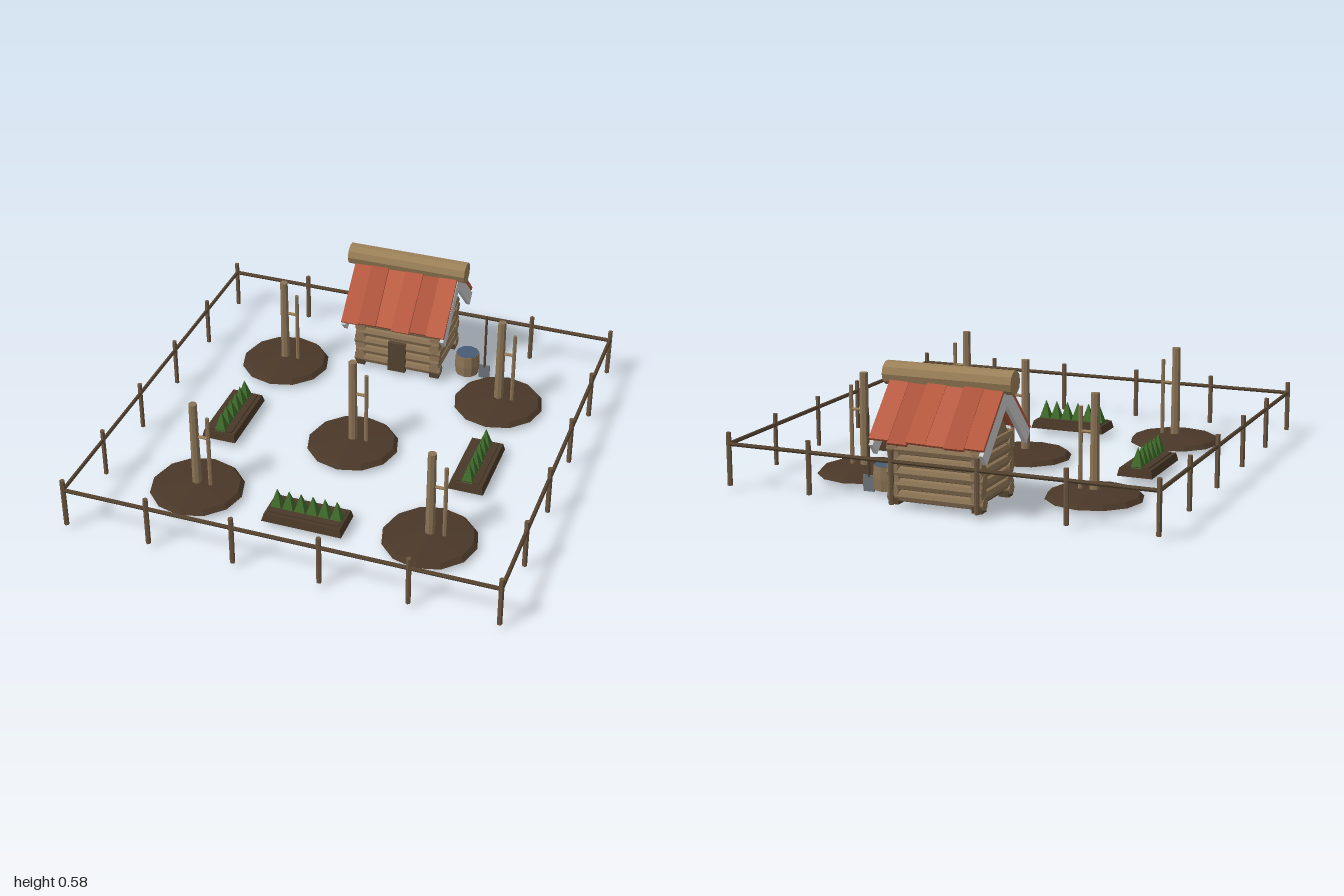
import * as THREE from 'three';

const mat = (color) => new THREE.MeshStandardMaterial({ color, flatShading: true });
const WOOD = mat(0x8b7355), PALE = mat(0x9b8058), DARK = mat(0x54422f), FENCE = mat(0x6b5640);
const SOIL = mat(0x4a3828), LEAF = mat(0x3f6b2a), WATER = mat(0x485c74), METAL = mat(0x6a7278), GREY = mat(0xcccccc);
const ROOF = [mat(0xb5583f), mat(0xad533b), mat(0xbb5d44)];

function add(parent, name, geo, material, x = 0, y = 0, z = 0) {
  const m = new THREE.Mesh(geo, material);
  m.name = name;
  m.position.set(x, y, z);
  parent.add(m);
  return m;
}

function group(parent, name, x = 0, y = 0, z = 0) {
  const g = new THREE.Group();
  g.name = name;
  g.position.set(x, y, z);
  parent.add(g);
  return g;
}

// Round timber; axis is 'x', 'y' or 'z'
function log(parent, name, axis, r, len, material, x, y, z, sides = 8) {
  const geo = new THREE.CylinderGeometry(r, r, len, sides);
  if (axis === 'x') geo.rotateZ(Math.PI / 2);
  if (axis === 'z') geo.rotateX(Math.PI / 2);
  return add(parent, name, geo, material, x, y, z);
}

// Flat shape in (z, y) extruded across x, centred
function slabX(points, width) {
  const shape = new THREE.Shape(points.map(([a, b]) => new THREE.Vector2(a, b)));
  return new THREE.ExtrudeGeometry(shape, { depth: width, bevelEnabled: false })
    .translate(0, 0, -width / 2).rotateY(-Math.PI / 2);
}

function buildFence(root) {
  const g = group(root, 'fence', 0, 0, 0.03);
  const half = 0.95, step = 0.38;
  for (let side = 0; side < 4; side++) {
    const s = group(g, 'fenceSide');
    s.rotation.y = side * Math.PI / 2;
    for (let i = 0; i < 5; i++)
      log(s, 'fencePost', 'y', 0.011, 0.23, FENCE, -half + i * step, 0.135, half, 6);
    log(s, 'fenceRail', 'x', 0.009, 2 * half, DARK, 0, 0.2, half, 6);
  }
}

function buildMound(root, x, z) {
  const g = group(root, 'treeMound', x, 0, z);
  const profile = [[0, 0.02], [0.208, 0.02], [0.19, 0.04], [0.13, 0.046], [0, 0.058]]
    .map(([r, y]) => new THREE.Vector2(r, y));
  add(g, 'soilMound', new THREE.LatheGeometry(profile, 12), SOIL);
  add(g, 'trunk', new THREE.CylinderGeometry(0.019, 0.022, 0.41, 8), WOOD, 0, 0.255, 0);
  log(g, 'stake', 'y', 0.009, 0.36, WOOD, 0.063, 0.22, 0, 6);
  log(g, 'stakeTie', 'x', 0.007, 0.065, PALE, 0.035, 0.295, 0, 6);
}

function buildBed(root, x, z, turn) {
  const g = group(root, 'plantBed', x, 0, z);
  g.rotation.y = turn;
  // Box drawn in towards the top
  const box = new THREE.BoxGeometry(0.36, 0.035, 0.16);
  const p = box.attributes.position;
  for (let i = 0; i < p.count; i++)
    if (p.getY(i) > 0) p.setXYZ(i, p.getX(i) * 0.95, p.getY(i), p.getZ(i) * 0.9);
  box.computeVertexNormals();
  add(g, 'bedBase', box, SOIL, 0, 0.0405, 0);
  add(g, 'bedSoil', new THREE.BoxGeometry(0.32, 0.008, 0.11), SOIL, 0, 0.06, 0);
  const leaf = new THREE.ConeGeometry(0.026 * Math.SQRT2, 0.09, 4).rotateY(Math.PI / 4);
  for (let i = 0; i < 6; i++) add(g, 'plant', leaf, LEAF, (i - 2.5) * 0.054, 0.103, 0);
}

function buildHouse(root) {
  const g = group(root, 'cabin', 0, 0, -0.755);
  // Log walls with crossing corners
  const rows = 5, pitch = 0.049;
  for (let i = 0; i < rows; i++) {
    const y = 0.055 + i * pitch;
    const wobble = (i % 2) * 0.012;
    for (const s of [-1, 1]) {
      log(g, 'wallLog', 'x', 0.026, 0.425 - wobble, WOOD, 0, y, s * 0.135);
      log(g, 'sideLog', 'z', 0.026, 0.325 - wobble, WOOD, s * 0.185, y + pitch / 2, 0);
    }
  }
  add(g, 'floor', new THREE.BoxGeometry(0.36, 0.02, 0.26), DARK, 0, 0.05, 0);
  for (const x of [-0.185, 0.185]) for (const z of [-0.135, 0.135])
    add(g, 'cornerFoot', new THREE.BoxGeometry(0.045, 0.04, 0.045), DARK, x, 0.04, z);
  add(g, 'door', new THREE.BoxGeometry(0.085, 0.155, 0.02), DARK, 0, 0.1, 0.157);

  // Gables and grey boards under the roof edge
  const gable = slabX([[-0.165, 0.265], [0.165, 0.265], [0, 0.445]], 0.03);
  const barge = slabX([[0, 0.52], [-0.24, 0.28], [-0.2, 0.235], [0, 0.435], [0.2, 0.235], [0.24, 0.28]], 0.018);
  for (const s of [-1, 1]) {
    add(g, 'gable', gable, WOOD, s * 0.18, 0, 0);
    add(g, 'gableBoard', barge, GREY, s * 0.241, 0, 0);
  }

  // Uneven roof boards, six on each slope
  for (const s of [-1, 1]) {
    const slope = group(g, 'roofSlope', 0, 0.403, s * 0.128);
    slope.rotation.x = s * Math.PI / 4;
    for (let i = 0; i < 6; i++) {
      const jitter = Math.sin(i * 2.3 + s) * 0.006;
      const b = add(slope, 'roofBoard', new THREE.BoxGeometry(0.086, 0.014, 0.305 + jitter),
        ROOF[i % 3], (i - 2.5) * 0.083, 0.001 + (i % 2) * 0.005, s * jitter / 2);
      b.rotation.y = Math.sin(i * 1.7) * 0.012;
      b.rotation.z = 0.03;
    }
  }
  log(g, 'ridgeLog', 'x', 0.05, 0.57, PALE, 0, 0.53, 0, 10);
}

function buildYardTools(root) {
  // Water barrel
  const b = group(root, 'barrel', 0.317, 0, -0.71);
  const wall = [[0, 0.02], [0.055, 0.02], [0.059, 0.07], [0.056, 0.125], [0.05, 0.125], [0.05, 0.112]]
    .map(([r, y]) => new THREE.Vector2(r, y));
  add(b, 'barrelBody', new THREE.LatheGeometry(wall, 10), WOOD);
  add(b, 'water', new THREE.CylinderGeometry(0.054, 0.054, 0.006, 10), WATER, 0, 0.124, 0);
  // Spade standing in the ground
  const s = group(root, 'spade', 0.402, 0, -0.71);
  log(s, 'spadeHandle', 'y', 0.006, 0.28, DARK, 0, 0.2, 0, 6);
  add(s, 'spadeBlade', new THREE.BoxGeometry(0.052, 0.07, 0.008), METAL, 0, 0.035, 0);
}

export function createModel() {
  const root = new THREE.Group();
  root.name = 'garden';
  buildFence(root);
  for (const [x, z] of [[-0.53, -0.5], [0.53, -0.5], [0, 0.03], [-0.53, 0.56], [0.53, 0.56]]) buildMound(root, x, z);
  buildBed(root, -0.58, 0.03, Math.PI / 2);
  buildBed(root, 0.58, 0.03, Math.PI / 2);
  buildBed(root, 0, 0.61, 0);
  buildHouse(root);
  buildYardTools(root);
  return root;
}
